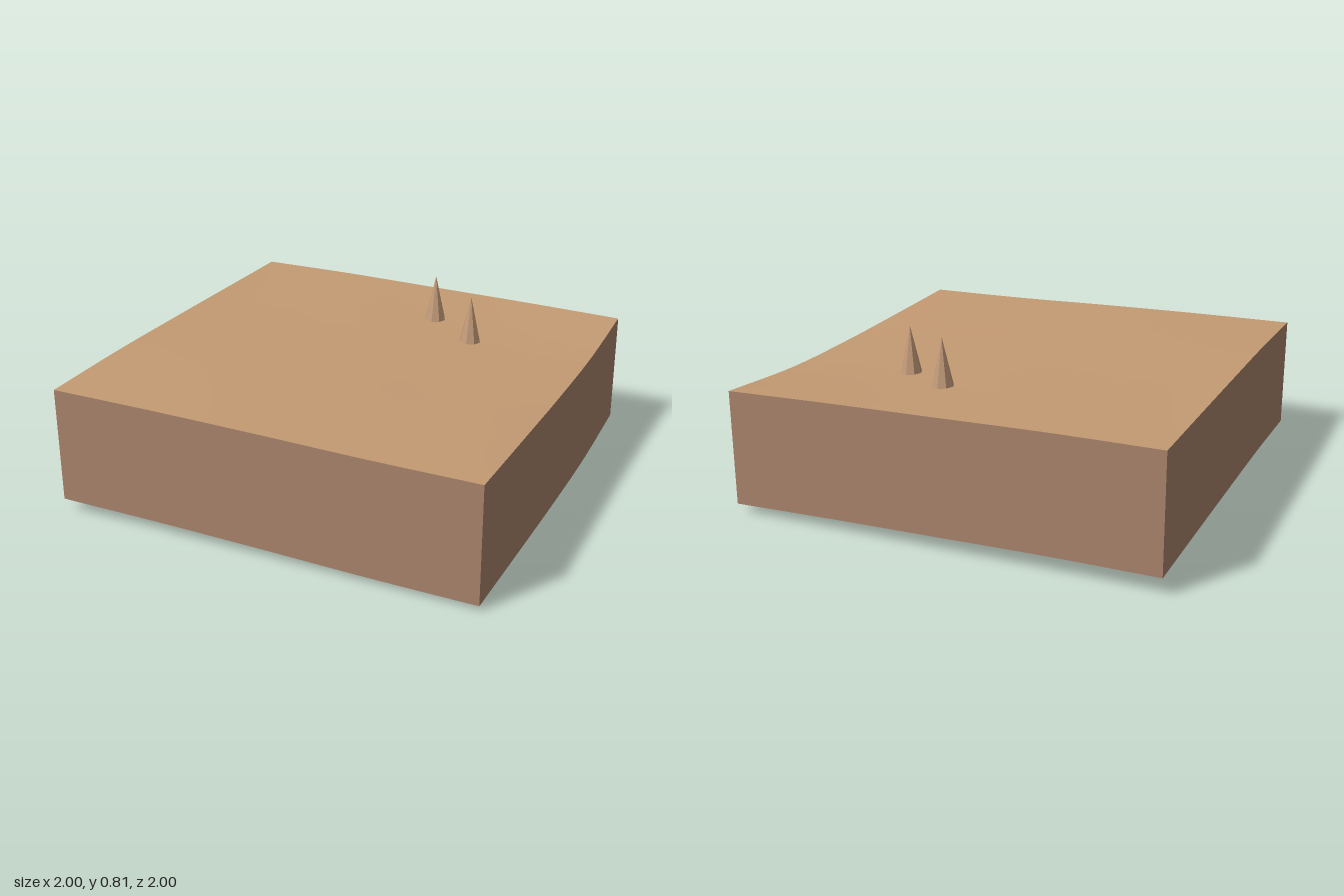
import * as THREE from 'three';

// Ground heights on a coarse grid: rows run z = -1..1, columns x = -1..1
const HEIGHTS = [
  [0.62, 0.617, 0.606, 0.595, 0.58],
  [0.618, 0.61, 0.595, 0.565, 0.543],
  [0.615, 0.603, 0.584, 0.557, 0.539],
  [0.61, 0.6, 0.581, 0.56, 0.548],
  [0.594, 0.589, 0.579, 0.566, 0.56],
];
const DEPTH = 0.536;
const STEPS = 24;

// Smooth curve through five evenly spaced values
function smooth(values, t) {
  const s = THREE.MathUtils.clamp((t + 1) * 2, 0, 4);
  const i = Math.min(Math.floor(s), 3);
  const f = s - i;
  const at = (k) => (k < 0 ? 2 * values[0] - values[1] : k > 4 ? 2 * values[4] - values[3] : values[k]);
  const [a, b, c, d] = [at(i - 1), at(i), at(i + 1), at(i + 2)];
  return b + 0.5 * f * (c - a + f * (2 * a - 5 * b + 4 * c - d + f * (3 * (b - c) + d - a)));
}

const groundHeight = (x, z) => smooth(HEIGHTS.map((row) => smooth(row, x)), z);

// Gently rolling top surface
function groundGeometry() {
  const geometry = new THREE.PlaneGeometry(2, 2, STEPS, STEPS).rotateX(-Math.PI / 2);
  const p = geometry.attributes.position;
  for (let i = 0; i < p.count; i++) p.setY(i, groundHeight(p.getX(i), p.getZ(i)));
  geometry.computeVertexNormals();
  return geometry;
}

// Side skirt of constant depth that follows one edge of the ground
function wallGeometry(angle) {
  const geometry = new THREE.PlaneGeometry(2, 1, STEPS, 1).translate(0, 0, 1).rotateY(angle);
  const p = geometry.attributes.position;
  for (let i = 0; i < p.count; i++) {
    const top = groundHeight(p.getX(i), p.getZ(i));
    p.setY(i, p.getY(i) > 0 ? top : top - DEPTH);
  }
  return geometry;
}

export function createModel() {
  const sand = new THREE.MeshStandardMaterial({ color: 0xc49b73, side: THREE.DoubleSide });
  sand.name = 'sand';
  const earth = new THREE.MeshStandardMaterial({ color: 0xa9846c, side: THREE.DoubleSide });
  earth.name = 'earth';
  const stone = new THREE.MeshStandardMaterial({ color: 0xc29a78, flatShading: true });
  stone.name = 'stone';

  const model = new THREE.Group();
  model.name = 'terrainTile';
  const add = (name, geometry, material) => {
    const mesh = new THREE.Mesh(geometry, material);
    mesh.name = name;
    model.add(mesh);
    return mesh;
  };

  add('ground', groundGeometry(), sand);
  ['frontWall', 'leftWall', 'backWall', 'rightWall'].forEach((name, i) => {
    add(name, wallGeometry((i * Math.PI) / 2), earth);
  });

  // Two slim faceted spires standing on the ground
  [[0.165, -0.585, 0.587], [0.415, -0.415, 0.565]].forEach(([x, z, y], i) => {
    const spire = add(`spire${i + 1}`, new THREE.ConeGeometry(0.052, 0.226, 8), stone);
    spire.position.set(x, y + 0.113, z);
  });

  return model;
}
